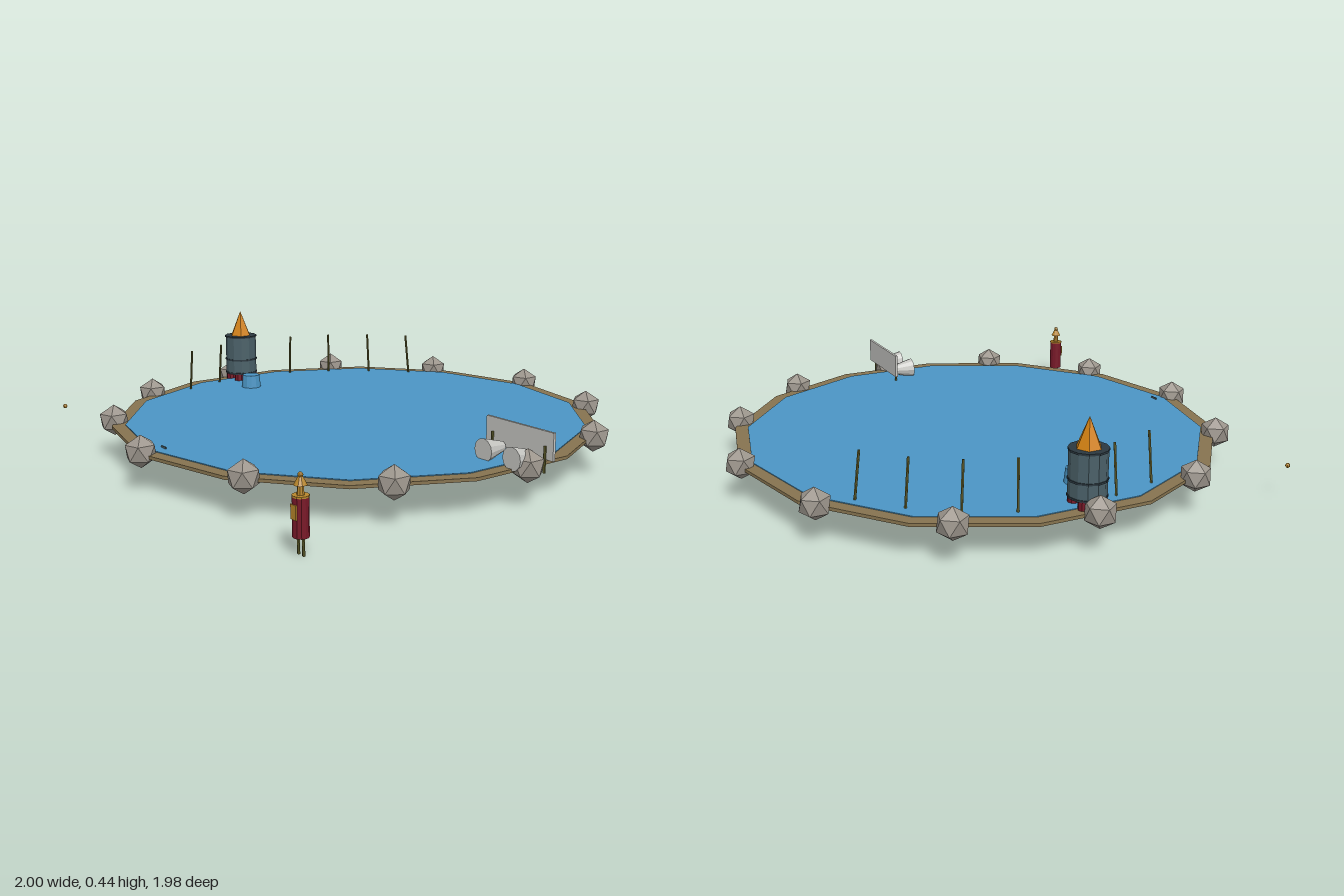
import * as THREE from 'three';

const mat = (name, color) => {
  const m = new THREE.MeshStandardMaterial({ color, flatShading: true });
  m.name = name;
  return m;
};

export function createModel() {
  const model = new THREE.Group();
  model.name = 'pond';
  const sand = mat('sand', 0x86734f);
  const water = mat('water', 0x4b95c4);
  const stone = mat('stone', 0x9c958c);
  const slate = mat('slate', 0x4a6068);
  const iron = mat('iron', 0x2b3840);
  const orange = mat('orange', 0xd2810f);
  const red = mat('red', 0x781828);
  const olive = mat('olive', 0x66642f);
  const white = mat('white', 0xc6c6c2);
  const gold = mat('gold', 0xb8862b);

  const add = (name, geo, material, x, y, z, parent = model) => {
    const mesh = new THREE.Mesh(geo, material);
    mesh.name = name;
    mesh.position.set(x, y, z);
    parent.add(mesh);
    return mesh;
  };
  const cyl = (rTop, rBottom, h, n) => new THREE.CylinderGeometry(rTop, rBottom, h, n);
  // Straight rod between two points
  const rod = (name, a, b, r, material) => {
    const from = new THREE.Vector3(...a), to = new THREE.Vector3(...b);
    const dir = to.clone().sub(from);
    const mid = from.clone().add(to).multiplyScalar(0.5);
    const mesh = add(name, cyl(r, r, dir.length(), 6), material, mid.x, mid.y, mid.z);
    mesh.quaternion.setFromUnitVectors(new THREE.Vector3(0, 1, 0), dir.normalize());
  };

  // Pond bed and water surface
  const cx = -0.012, cz = -0.003;
  add('pondBed', cyl(0.945, 0.945, 0.012, 14), sand, cx, 0.13, cz);
  add('waterSurface', cyl(0.895, 0.895, 0.006, 14), water, cx, 0.136, cz);

  // Ring of twelve stones, each standing on a vertex
  const rockGeo = new THREE.IcosahedronGeometry(0.06, 0);
  rockGeo.rotateZ(Math.atan(2 / (1 + Math.sqrt(5))));
  for (let i = 0; i < 12; i++) {
    const a = (i / 12) * Math.PI * 2;
    add('rock', rockGeo, stone, cx + Math.sin(a) * 0.938, 0.142, cz + Math.cos(a) * 0.938);
  }

  // Tower with hoops, pointed roof and red feet
  const tower = new THREE.Group();
  tower.name = 'tower';
  tower.position.set(-0.862, 0, 0);
  model.add(tower);
  add('towerWall', cyl(0.067, 0.067, 0.17, 12), slate, 0, 0.25, 0, tower);
  for (const y of [0.17, 0.23, 0.333]) {
    add('towerHoop', cyl(0.07, 0.07, 0.007, 12), iron, 0, y, 0, tower);
  }
  add('towerRoof', new THREE.ConeGeometry(0.046, 0.108, 6), orange, 0, 0.39, 0, tower);
  for (let i = 0; i < 4; i++) {
    const a = Math.PI / 4 + (i * Math.PI) / 2;
    add('towerFoot', cyl(0.02, 0.02, 0.055, 8), red,
      Math.cos(a) * 0.048, 0.145, Math.sin(a) * 0.048, tower);
  }

  // Upturned bucket
  add('bucket', cyl(0.036, 0.042, 0.058, 12), water, -0.682, 0.163, 0.062);

  // Leaning reeds: foot x, foot z, top x, top z
  const reeds = [
    [-0.5, -0.683, -0.5, -0.662], [-0.638, -0.557, -0.63, -0.54],
    [-0.753, -0.408, -0.73, -0.39], [-0.828, -0.24, -0.793, -0.222],
    [-0.85, 0.123, -0.803, 0.138], [-0.805, 0.294, -0.752, 0.311],
  ];
  for (const [x0, z0, x1, z1] of reeds) {
    rod('reed', [x0, 0.13, z0], [x1, 0.313, z1], 0.005, olive);
  }

  // Signboard on stakes, with two flared horns facing forward
  add('signBoard', new THREE.BoxGeometry(0.315, 0.097, 0.01), white, 0.838, 0.212, -0.052);
  for (const x of [0.715, 0.962]) {
    rod('signStake', [x, 0.118, -0.043], [x, 0.21, -0.043], 0.005, olive);
  }
  const hornGeo = cyl(0.042, 0.018, 0.09, 12).rotateX(Math.PI / 2);
  for (const x of [0.772, 0.906]) add('horn', hornGeo, white, x, 0.17, 0.01);

  // Red lantern post on two legs
  const lantern = new THREE.Group();
  lantern.name = 'lantern';
  lantern.position.set(0.838, 0, 0.85);
  model.add(lantern);
  add('lanternBody', cyl(0.026, 0.026, 0.126, 12), red, 0, 0.12, 0, lantern);
  add('lanternTop', cyl(0.027, 0.027, 0.006, 12), gold, 0, 0.184, 0, lantern);
  add('lanternNeck', cyl(0.009, 0.012, 0.035, 8), gold, 0, 0.203, 0, lantern);
  add('lanternCap', cyl(0.008, 0.021, 0.026, 10), gold, 0, 0.23, 0, lantern);
  add('lanternKnob', new THREE.SphereGeometry(0.009, 8, 6), gold, 0, 0.248, 0, lantern);
  add('lanternPlate', new THREE.BoxGeometry(0.026, 0.046, 0.006), gold, 0, 0.138, 0.025, lantern);
  for (const s of [-1, 1]) {
    add('lanternLeg', cyl(0.005, 0.005, 0.06, 6), olive, s * 0.013, 0.03, 0, lantern);
  }

  // Small loose pieces beside and on the pond
  add('bead', new THREE.SphereGeometry(0.009, 8, 6), gold, -0.862, 0.13, 0.846);
  add('floatStrip', new THREE.BoxGeometry(0.032, 0.008, 0.004), slate, -0.012, 0.142, 0.846);

  return model;
}
